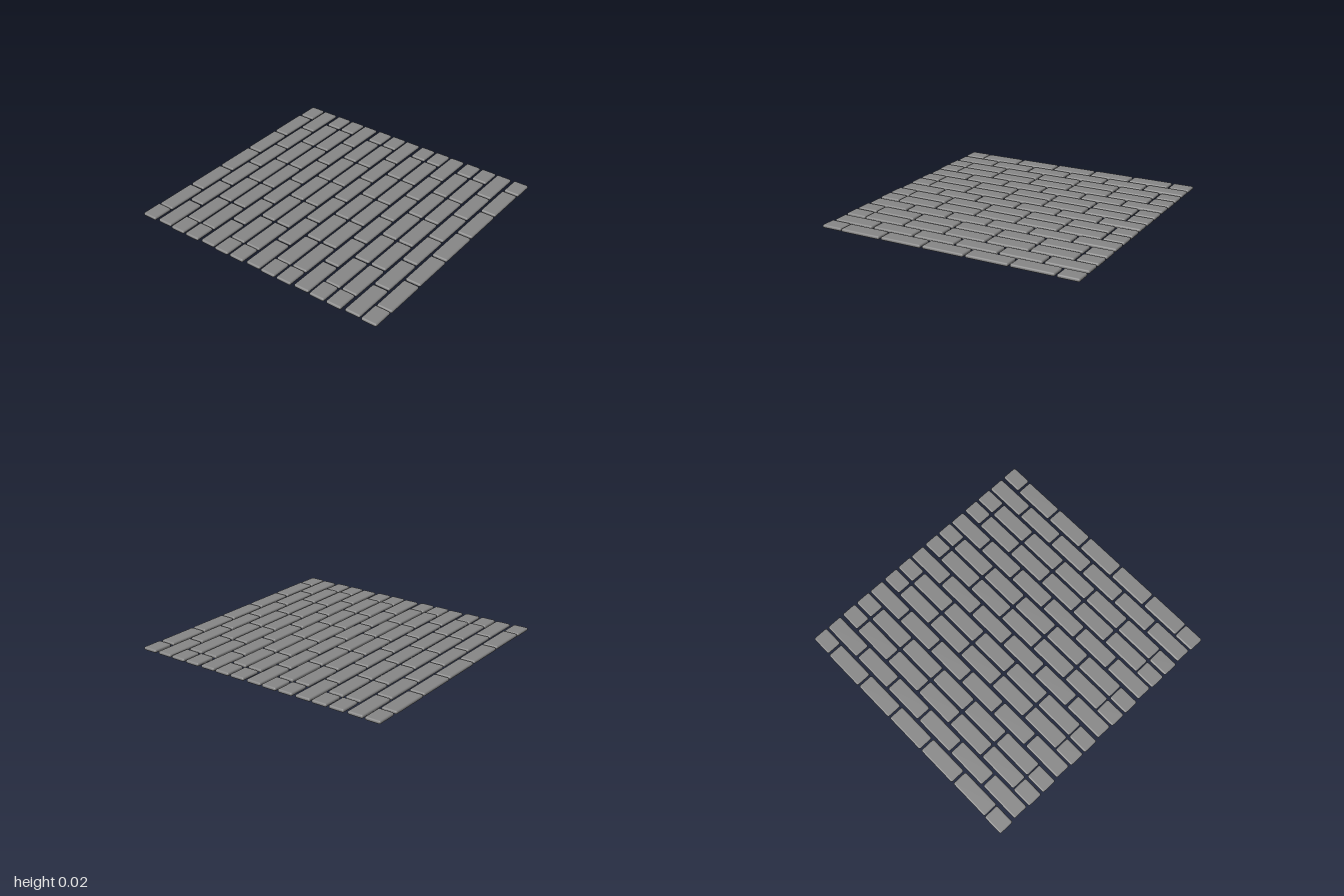
import * as THREE from 'three';
import { RoundedBoxGeometry } from 'three/addons/geometries/RoundedBoxGeometry.js';

const HEIGHT = 0.024, DEPTH = 0.114, LONG = 0.306, SHORT = 0.154, ROUNDING = 0.011;
const SKEW = 0.007; // the whole pavement is laid very slightly askew

export function createModel() {
  const group = new THREE.Group();
  group.name = 'brickPavement';
  const material = new THREE.MeshStandardMaterial({ color: 0x868686 });
  const longBrick = new RoundedBoxGeometry(LONG, HEIGHT, DEPTH, 2, ROUNDING);
  const halfBrick = new RoundedBoxGeometry(SHORT, HEIGHT, DEPTH, 2, ROUNDING);

  function addBrick(parent, geometry, name, x, z) {
    const brick = new THREE.Mesh(geometry, material);
    brick.name = name;
    brick.position.set(x - SKEW * z, HEIGHT / 2, z);
    brick.rotation.y = -SKEW;
    parent.add(brick);
  }

  // Five courses of three rows: half-ended row, full row, half-ended row
  for (let course = -2; course <= 2; course++) {
    for (let row = -1; row <= 1; row++) {
      const z = course * 0.4 + row * 0.134;
      const rowGroup = new THREE.Group();
      rowGroup.name = row === 0 ? 'fullRow' : 'halfEndedRow';
      if (row === 0) {
        for (let i = 0; i < 6; i++) addBrick(rowGroup, longBrick, 'brick', (i - 2.5) * 0.32 + 0.003, z);
      } else {
        for (let i = -2; i <= 2; i++) addBrick(rowGroup, longBrick, 'brick', i * 0.32 - 0.005, z);
        for (const side of [-1, 1]) addBrick(rowGroup, halfBrick, 'halfBrick', side * 0.881, z + side * 0.006);
      }
      group.add(rowGroup);
    }
  }
  return group;
}
